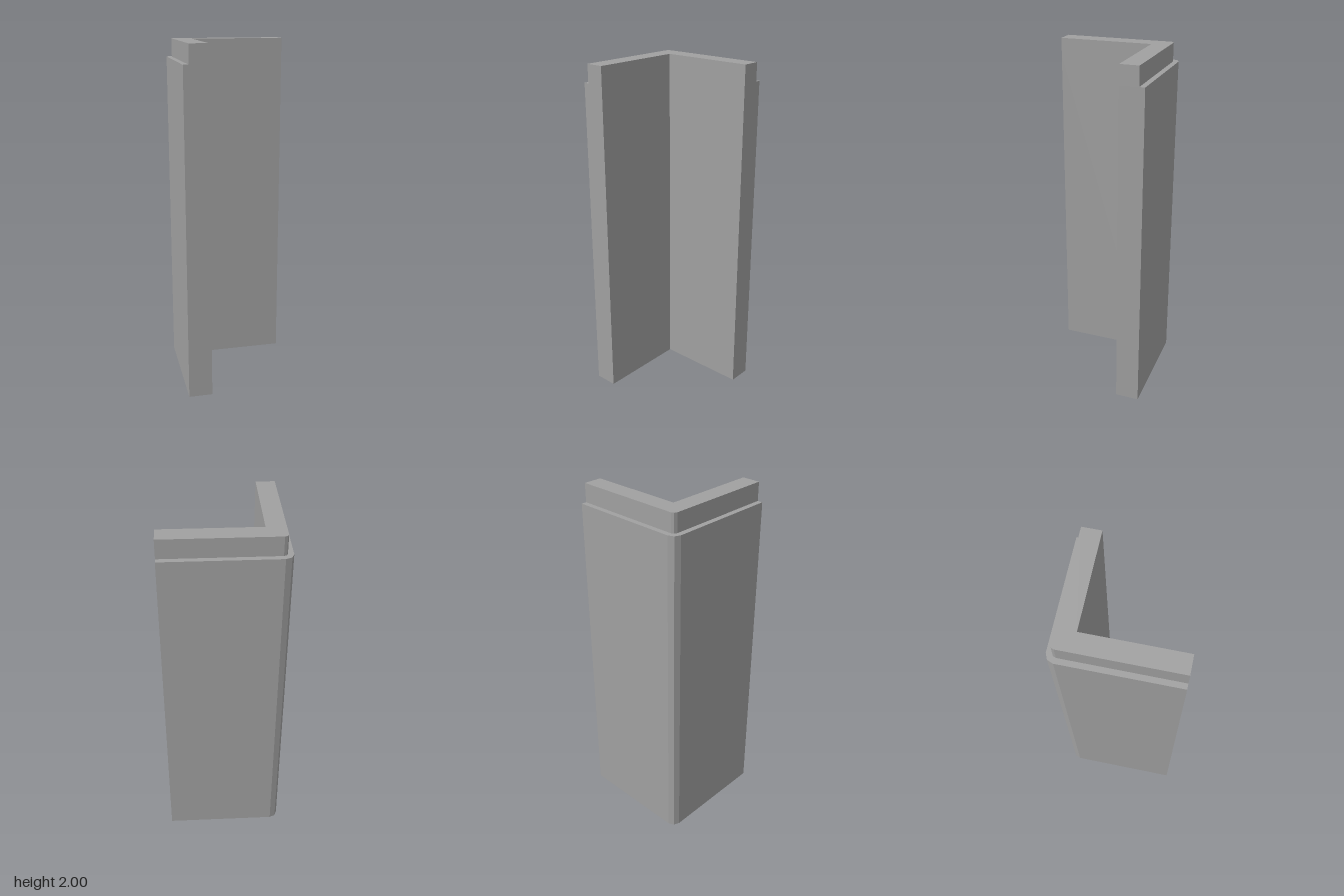
import * as THREE from 'three';

const IN = -0.203; // inner faces of both walls
const END = 0.338; // free ends of both walls

// L-shaped wall section with a two-step bevelled outer corner, extruded upward
function cornerWall(name, outer, bevel, y0, y1, material) {
  const [a, b] = bevel;
  const points = [
    [IN, END], [IN, IN], [END, IN], [END, -outer],
    [-outer + a, -outer], [-outer + b, -outer + b], [-outer, -outer + a], [-outer, END],
  ];
  const shape = new THREE.Shape(points.map(([x, z]) => new THREE.Vector2(x, -z)));
  const geometry = new THREE.ExtrudeGeometry(shape, { depth: y1 - y0, bevelEnabled: false });
  geometry.rotateX(-Math.PI / 2).translate(0, y0, 0);
  const mesh = new THREE.Mesh(geometry, material);
  mesh.name = name;
  return mesh;
}

export function createModel() {
  const grey = new THREE.MeshStandardMaterial({ color: 0xa0a0a0 });
  grey.name = 'grey';

  const model = new THREE.Group();
  model.name = 'cornerWall';
  // Main wall, then the narrower lip on top set back from the outside
  model.add(cornerWall('wall', 0.339, [0.046, 0.0135], 0, 1.895, grey));
  model.add(cornerWall('topLip', 0.3085, [0.022, 0.0065], 1.895, 2, grey));
  return model;
}
